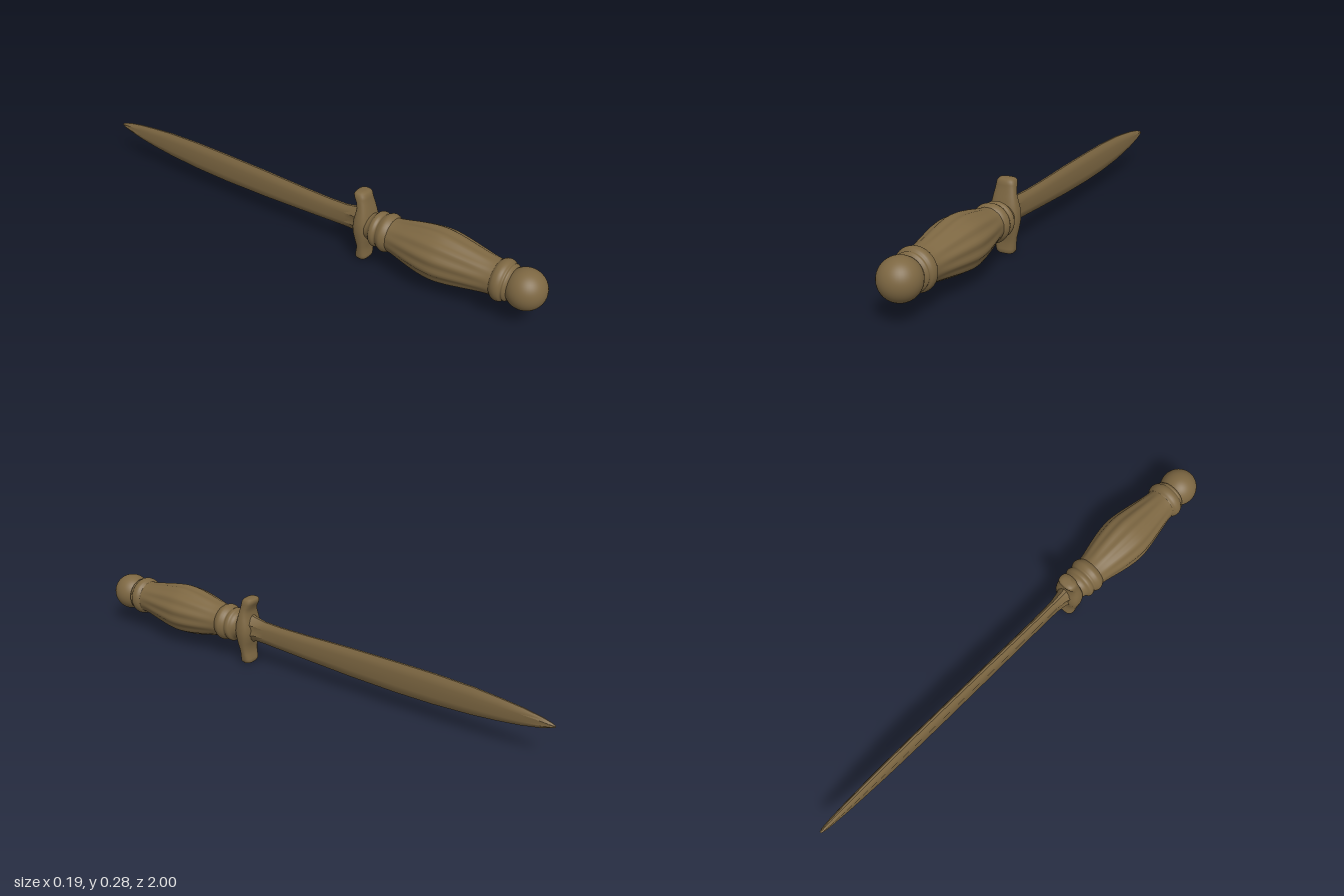
import * as THREE from 'three';
import { toCreasedNormals } from 'three/addons/utils/BufferGeometryUtils.js';

const AXIS = 0.145; // height of the dagger's long axis

// Skins a stack of equal-length rings of [x, y, z] points and closes both ends
function loft(rings) {
  const n = rings[0].length, pos = [], idx = [];
  rings.forEach(r => r.forEach(p => pos.push(...p)));
  for (let i = 0; i < rings.length - 1; i++) {
    for (let j = 0; j < n; j++) {
      const a = i * n + j, b = i * n + (j + 1) % n;
      idx.push(a, b, a + n, b, b + n, a + n);
    }
  }
  const last = (rings.length - 1) * n;
  for (let j = 1; j < n - 1; j++) {
    idx.push(0, j + 1, j, last, last + j, last + j + 1);
  }
  const g = new THREE.BufferGeometry();
  g.setAttribute('position', new THREE.Float32BufferAttribute(pos, 3));
  g.setIndex(idx);
  g.computeVertexNormals();
  return g;
}

// Smooth samples through rows of [station, ...values]
function smoothRows(rows, steps) {
  const curve = new THREE.CatmullRomCurve3(rows.map(r => new THREE.Vector3(...r)), false, 'centripetal');
  return curve.getPoints(steps);
}

export function createModel() {
  const model = new THREE.Group();
  const bronze = new THREE.MeshStandardMaterial({ color: 0x7d6742 });
  bronze.name = 'bronze brown';
  const add = (name, geometry) => {
    const mesh = new THREE.Mesh(geometry, bronze);
    mesh.name = name;
    model.add(mesh);
    return mesh;
  };

  // Round turned part along z, from [radius, z] points
  const turned = (name, points) => {
    const curve = new THREE.SplineCurve(points.map(p => new THREE.Vector2(...p)));
    const g = new THREE.LatheGeometry(curve.getPoints(points.length * 5), 40);
    g.rotateX(Math.PI / 2);
    add(name, g).position.y = AXIS;
  };

  // Pommel ball
  add('pommel', new THREE.SphereGeometry(0.073, 40, 28)).position.set(0, AXIS, 0.927);

  // Collars at each end of the grip
  turned('rearCollar', [[0.05, 0.79], [0.063, 0.805], [0.064, 0.82], [0.073, 0.832], [0.076, 0.846],
    [0.073, 0.858], [0.066, 0.866], [0.066, 0.874], [0.055, 0.885]]);
  turned('frontCollar', [[0.046, 0.28], [0.05, 0.315], [0.056, 0.33], [0.066, 0.34], [0.067, 0.352],
    [0.062, 0.363], [0.068, 0.373], [0.073, 0.387], [0.069, 0.402], [0.06, 0.415]]);

  // Swelling grip with twelve soft ribs, deepest at the middle
  const gripRows = smoothRows([[0.395, 0.062, 0], [0.43, 0.067, 0.01], [0.5, 0.082, 0.025],
    [0.56, 0.092, 0.03], [0.61, 0.095, 0.03], [0.66, 0.09, 0.03], [0.74, 0.076, 0.025],
    [0.8, 0.066, 0.01], [0.83, 0.064, 0]], 36);
  add('grip', loft(gripRows.map(({ x: z, y: radius, z: rib }) =>
    Array.from({ length: 72 }, (_, j) => {
      const a = j / 72 * Math.PI * 2;
      const r = radius * (1 - rib * Math.cos(12 * a));
      return [r * Math.cos(a), AXIS + r * Math.sin(a), z];
    }))));

  // Crossguard: rounded bars with flared tips, rows of [y, z centre, half depth, half width]
  const guardRows = [
    [0.000, 0.283, 0.010, 0.018], [0.003, 0.283, 0.020, 0.030], [0.010, 0.283, 0.025, 0.036],
    [0.022, 0.283, 0.025, 0.038], [0.040, 0.285, 0.021, 0.040], [0.065, 0.287, 0.021, 0.044],
    [0.090, 0.287, 0.027, 0.050], [0.120, 0.286, 0.034, 0.055], [0.145, 0.286, 0.036, 0.057],
    [0.170, 0.286, 0.034, 0.055], [0.195, 0.286, 0.028, 0.050], [0.220, 0.285, 0.023, 0.044],
    [0.240, 0.280, 0.022, 0.040], [0.257, 0.273, 0.026, 0.038], [0.270, 0.270, 0.027, 0.036],
    [0.277, 0.269, 0.021, 0.030], [0.280, 0.269, 0.010, 0.018]];
  const soft = v => Math.sign(v) * Math.pow(Math.abs(v), 0.75);
  add('crossguard', loft(guardRows.map(([y, zc, hz, hx]) =>
    Array.from({ length: 32 }, (_, j) => {
      const a = j / 32 * Math.PI * 2;
      return [hx * soft(Math.sin(a)), y, zc + hz * soft(Math.cos(a))];
    }))));

  // Leaf-shaped blade, rows of [z, lower edge, upper edge, half thickness]
  const bladeRows = [
    [-1.0, 0.140, 0.146, 0.003], [-0.985, 0.133, 0.153, 0.007], [-0.95, 0.122, 0.163, 0.010],
    [-0.88, 0.108, 0.175, 0.013], [-0.8, 0.097, 0.184, 0.015], [-0.7, 0.087, 0.193, 0.017],
    [-0.55, 0.079, 0.198, 0.018], [-0.4, 0.077, 0.198, 0.018], [-0.2, 0.081, 0.196, 0.018],
    [0.0, 0.090, 0.191, 0.018], [0.12, 0.096, 0.190, 0.018], [0.2, 0.100, 0.193, 0.019],
    [0.24, 0.101, 0.201, 0.025], [0.28, 0.090, 0.212, 0.040]];
  // Half section: [share of half thickness, share of half height], with a shallow central hollow
  const side = [[0.22, -1], [0.65, -0.75], [1, -0.4], [0.82, 0], [1, 0.4], [0.65, 0.75], [0.22, 1]];
  const section = [...side, ...side.map(([t, h]) => [-t, -h])];
  const blade = loft(bladeRows.map(([z, low, high, t]) =>
    section.map(([u, v]) => [u * t, (low + high) / 2 + v * (high - low) / 2, z])));
  add('blade', toCreasedNormals(blade, 0.6));

  return model;
}
